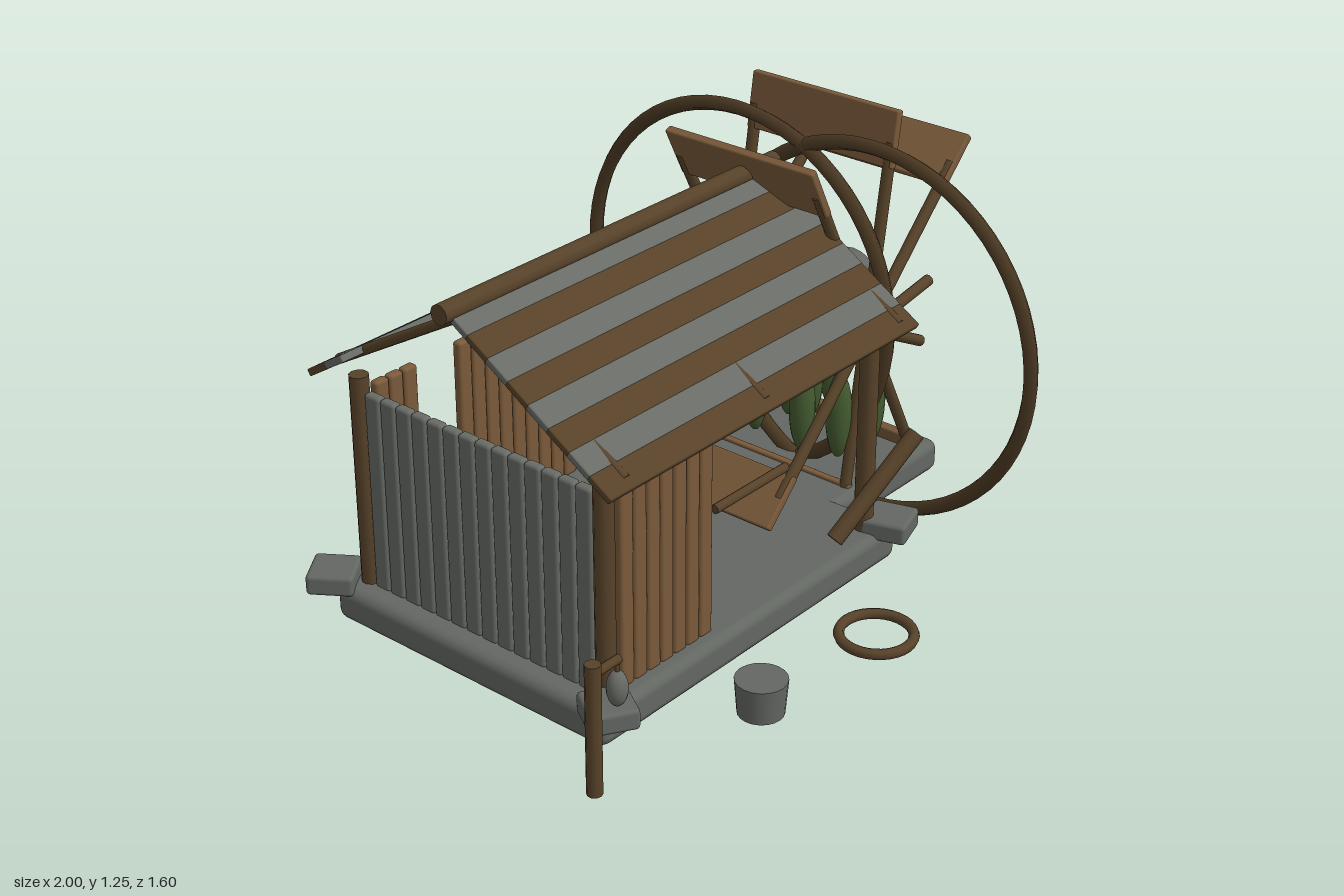
import * as THREE from 'three';
import { RoundedBoxGeometry } from 'three/addons/geometries/RoundedBoxGeometry.js';

const mat = (name, color) => {
  const m = new THREE.MeshStandardMaterial({ color });
  m.name = name;
  return m;
};

export function createModel() {
  const model = new THREE.Group();
  model.name = 'waterMill';
  const stone = mat('stone', 0x636762);
  const greyWood = mat('weathered wood', 0x686b65);
  const wood = mat('plank wood', 0x7a5a3a);
  const darkWood = mat('dark wood', 0x574229);
  const wheelWood = mat('wheel wood', 0x4a3822);
  const green = mat('pod green', 0x435a30);

  const group = (name) => {
    const g = new THREE.Group();
    g.name = name;
    model.add(g);
    return g;
  };
  const add = (parent, name, geo, m, x = 0, y = 0, z = 0) => {
    const mesh = new THREE.Mesh(geo, m);
    mesh.name = name;
    mesh.position.set(x, y, z);
    parent.add(mesh);
    return mesh;
  };
  const block = (parent, name, size, m, x, y, z, r = 0.006) =>
    add(parent, name, new RoundedBoxGeometry(...size, 2, r), m, x, y, z);
  // Round rod between two points
  const rod = (parent, name, a, b, r, m) => {
    const p = new THREE.Vector3(...a), q = new THREE.Vector3(...b);
    const d = q.clone().sub(p);
    const mesh = add(parent, name, new THREE.CylinderGeometry(r, r, d.length(), 10), m);
    mesh.position.copy(p).add(q).multiplyScalar(0.5);
    mesh.quaternion.setFromUnitVectors(new THREE.Vector3(0, 1, 0), d.normalize());
    return mesh;
  };

  // Foundation slabs and corner stones
  const base = group('foundation');
  block(base, 'mainSlab', [1.23, 0.105, 0.96], stone, -0.225, 0.1125, 0, 0.03);
  block(base, 'wheelSlab', [0.54, 0.1, 0.56], stone, 0.61, 0.11, 0, 0.03);
  for (const [x, z, turn] of [[-0.82, 0.48, -0.55], [0.365, 0.47, 0.3], [-0.82, -0.5, 0.6], [0.37, -0.48, -0.7]])
    block(base, 'cornerStone', [0.13, 0.06, 0.13], stone, x, 0.175, z, 0.012).rotation.y = turn;

  // Walls: vertical slats with gaps for the doorway and the broken back
  const walls = group('walls');
  for (let i = 0; i < 20; i++) {
    const x = -0.69 + i * 0.0505;
    if (i < 7) block(walls, 'frontSlat', [0.047, 0.58, 0.03], wood, x, 0.45, 0.42, 0.01);
    if (i < 3 || i > 5) block(walls, 'backSlat', [0.047, 0.58, 0.03], wood, x, 0.45, -0.42, 0.01);
  }
  for (let i = 0; i < 14; i++)
    block(walls, 'endSlat', [0.03, 0.58, 0.053], greyWood, -0.76, 0.45, -0.364 + i * 0.056, 0.01);
  for (const x of [-0.76, 0.31])
    for (const z of [-0.42, 0.42]) rod(walls, 'cornerPost', [x, 0.15, z], [x, 0.78, z], 0.027, darkWood);
  rod(walls, 'doorBar', [-0.37, 0.53, 0.443], [-0.08, 0.53, 0.443], 0.013, darkWood);

  // Roof: full planking in front, only the two eave boards left at the back
  const roof = group('roof');
  const tilt = Math.atan2(0.325, 0.52);
  for (let i = 0; i < 8; i++) {
    const t = (i + 0.5) / 8;
    for (const side of [1, -1]) {
      if (side < 0 && i < 6) continue;
      const plank = block(roof, 'roofPlank', [1.235, 0.02, 0.079], i % 2 ? darkWood : greyWood,
        -0.2275, 1.11 - 0.325 * t, side * 0.515 * t, 0.004);
      plank.rotation.x = side * tilt;
    }
  }
  for (const x of [-0.76, -0.23, 0.34])
    for (const side of [1, -1])
      rod(roof, 'rafter', [x, 1.085, 0], [x, 0.802, side * 0.49], 0.014, darkWood);
  rod(roof, 'ridgeBeam', [-0.87, 1.117, 0], [0.415, 1.117, 0], 0.028, darkWood);

  // Water wheel: axle, two rims, paired spokes and paddles
  const wheel = group('waterWheel');
  const cx = 0.55, cy = 0.63;
  const axle = (name, r, x0, x1) => {
    const c = add(wheel, name, new THREE.CylinderGeometry(r, r, x1 - x0, 24), stone, (x0 + x1) / 2, cy, 0);
    c.rotation.z = Math.PI / 2;
  };
  axle('axle', 0.095, 0.3, 0.8);
  axle('axlePin', 0.043, 0.2, 0.3);
  for (const side of [1, -1]) {
    const rim = add(wheel, 'rim', new THREE.TorusGeometry(0.543, 0.022, 6, 64), wheelWood, cx, cy, side * 0.235);
    rim.rotation.y = Math.PI / 2;
  }
  for (let k = 0; k < 10; k++) {
    const a = (9 + 36 * k) * Math.PI / 180;
    const c = Math.cos(a), s = Math.sin(a);
    const broken = [0, 5, 9].includes(k);
    const len = broken ? 0.3 : 0.54;
    for (const z of [-0.235, 0.235])
      rod(wheel, 'spoke', [cx, cy, z], [cx + c * len, cy + s * len, z], 0.017, darkWood);
    if (!broken)
      block(wheel, 'paddle', [0.165, 0.025, 0.505], wood, cx + c * 0.55, cy + s * 0.55, 0, 0.006).rotation.z = a;
  }

  // Hanging green pods
  const pods = group('pods');
  const podSpots = [[0.44, 0.38, 0.1], [0.48, 0.375, 0.2], [0.64, 0.36, 0.2], [0.48, 0.36, -0.1],
    [0.64, 0.345, -0.1], [0.73, 0.375, -0.015], [0.61, 0.385, 0]];
  for (const [x, y, z] of podSpots)
    add(pods, 'pod', new THREE.SphereGeometry(1, 14, 12), green, x, y, z).scale.set(0.038, 0.135, 0.038);

  // Loose props around the building
  const props = group('props');
  rod(props, 'leaningLog', [0.17, 0.19, 0.425], [0.43, 0.44, 0.5], 0.025, darkWood);
  add(props, 'bucket', new THREE.CylinderGeometry(0.07, 0.062, 0.1, 20), stone, -0.45, 0.11, 0.665);
  const hoop = add(props, 'hoop', new THREE.TorusGeometry(0.1, 0.015, 8, 32), darkWood, 0.015, 0.072, 0.685);
  hoop.rotation.x = Math.PI / 2;

  // Lamp post
  const lamp = group('lampPost');
  rod(lamp, 'post', [-0.978, 0.06, 0.575], [-0.978, 0.43, 0.575], 0.021, darkWood);
  rod(lamp, 'arm', [-0.978, 0.4, 0.575], [-0.885, 0.4, 0.575], 0.012, darkWood);
  rod(lamp, 'hook', [-0.892, 0.4, 0.575], [-0.892, 0.36, 0.575], 0.006, darkWood);
  add(lamp, 'lantern', new THREE.SphereGeometry(1, 14, 10), greyWood, -0.892, 0.32, 0.575).scale.set(0.028, 0.05, 0.028);

  return model;
}
